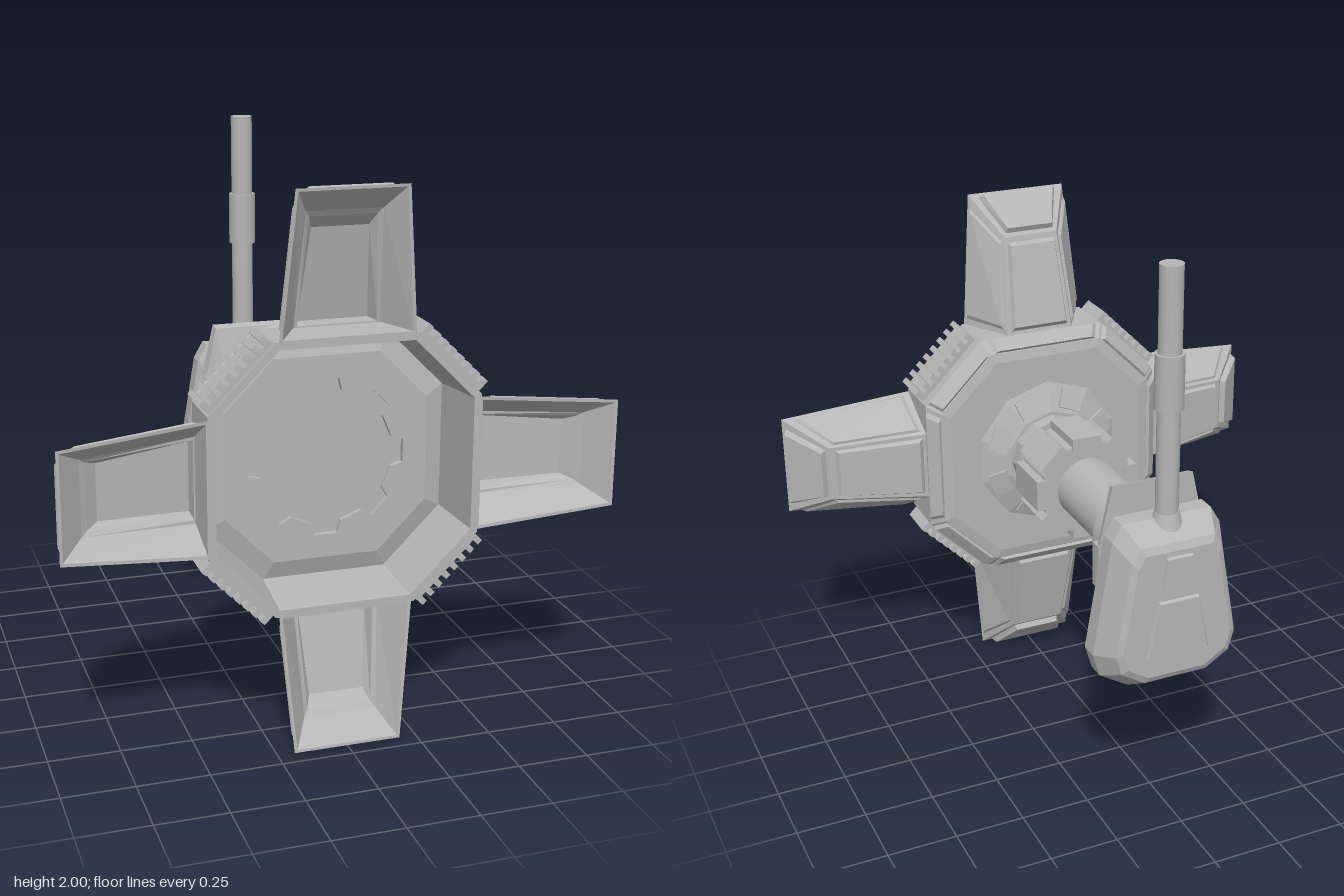
import * as THREE from 'three';

const hull = new THREE.MeshStandardMaterial({ color: 0xb6b6b6 });
hull.name = 'hull grey';
const CY = 0.96; // height of the main axis

function add(parent, name, geometry, x = 0, y = 0, z = 0) {
  const mesh = new THREE.Mesh(geometry, hull);
  mesh.name = name;
  mesh.position.set(x, y, z);
  parent.add(mesh);
  return mesh;
}

// Flat-shaded skin through rings of equal point count, with optional end caps
function loft(rings, startCap = true, endCap = true) {
  const out = [];
  const tri = (...pts) => pts.forEach((p) => out.push(p[0], p[1], p[2]));
  const n = rings[0].length;
  for (let i = 0; i < rings.length - 1; i++) {
    for (let j = 0; j < n; j++) {
      const k = (j + 1) % n, a = rings[i], b = rings[i + 1];
      tri(a[j], a[k], b[k]);
      tri(a[j], b[k], b[j]);
    }
  }
  const first = rings[0], last = rings[rings.length - 1];
  for (let j = 1; j < n - 1; j++) {
    if (startCap) tri(first[0], first[j + 1], first[j]);
    if (endCap) tri(last[0], last[j], last[j + 1]);
  }
  const g = new THREE.BufferGeometry();
  g.setAttribute('position', new THREE.Float32BufferAttribute(out, 3));
  g.computeVertexNormals();
  return g;
}

// Raised plate with bevelled edges lying on a four-cornered face
function panel(a, b, c, d, inset, height) {
  const q = [a, b, c, d].map((p) => new THREE.Vector3(...p));
  const normal = q[1].clone().sub(q[0]).cross(q[3].clone().sub(q[0])).normalize();
  const ring = (t, h) => [[t, t], [1 - t, t], [1 - t, 1 - t], [t, 1 - t]].map(([u, v]) => {
    const low = q[0].clone().lerp(q[1], u), high = q[3].clone().lerp(q[2], u);
    return low.lerp(high, v).addScaledVector(normal, h).toArray();
  });
  return loft([ring(inset, 0), ring(inset + 0.035, height)], false, true);
}

// Octagon whose cardinal sides are a little longer than its diagonals
function octagon(a, z) {
  const h = a * 0.52;
  return [[a, -h], [a, h], [h, a], [-h, a], [-a, h], [-a, -h], [-h, -a], [h, -a]].map(([x, y]) => [x, y, z]);
}

// Cylinder along z
function barrel(rFront, rBack, zFront, zBack, sides) {
  const g = new THREE.CylinderGeometry(rFront, rBack, zFront - zBack, sides);
  g.rotateX(Math.PI / 2);
  g.translate(0, 0, (zFront + zBack) / 2);
  return sides < 20 ? flat(g) : g;
}

function flat(g) {
  const f = g.toNonIndexed();
  f.computeVertexNormals();
  return f;
}

function makePetal() {
  const petal = new THREE.Group();
  petal.name = 'petal';
  const ring = (w0, r0, z0, w1, r1, z1) => [[-w0, r0, z0], [w0, r0, z0], [w1, r1, z1], [-w1, r1, z1]];
  const back = ring(0.13, 0.46, 0.47, 0.105, 0.825, 0.55);
  const rim = ring(0.235, 0.46, 0.66, 0.19, 0.96, 0.693);
  add(petal, 'petal tray', loft([
    back, rim,
    ring(0.222, 0.475, 0.66, 0.18, 0.95, 0.692),
    ring(0.15, 0.485, 0.545, 0.13, 0.875, 0.612),
    ring(0.138, 0.49, 0.545, 0.115, 0.855, 0.598),
    ring(0.122, 0.495, 0.495, 0.098, 0.815, 0.565),
  ]));
  add(petal, 'petal back plate', panel(back[0], back[3], back[2], back[1], 0.06, 0.016));
  add(petal, 'petal tip plate', panel(back[2], back[3], rim[3], rim[2], 0.08, 0.022));
  add(petal, 'petal side plate', panel(back[1], back[2], rim[2], rim[1], 0.07, 0.01));
  add(petal, 'petal side plate', panel(back[3], back[0], rim[0], rim[3], 0.07, 0.01));
  return petal;
}

function makeHub() {
  const hub = new THREE.Group();
  hub.name = 'hub';
  const bevelLow = octagon(0.425, 0.418), bevelHigh = octagon(0.47, 0.46);
  add(hub, 'hub shell', loft([
    octagon(0.39, 0.41), bevelLow, bevelHigh, octagon(0.47, 0.66),
    octagon(0.445, 0.66), octagon(0.425, 0.425),
  ]));
  for (let j = 0; j < 8; j++) {
    const k = (j + 1) % 8;
    add(hub, 'hub edge bar', panel(bevelLow[j], bevelLow[k], bevelHigh[k], bevelHigh[j], 0.04, 0.012));
  }

  // Raised floor frame around a toothed recess
  add(hub, 'floor bevel', loft([octagon(0.425, 0.425), octagon(0.36, 0.448)], false, false));
  const frame = new THREE.Shape(octagon(0.36, 0).map(([x, y]) => new THREE.Vector2(x, y)));
  const hole = [];
  for (let i = 0; i < 8; i++) {
    const c = i * Math.PI / 4 + Math.PI / 8;
    [[-0.24, 0.28], [-0.17, 0.24], [0.17, 0.24], [0.24, 0.28]].forEach(([da, r]) =>
      hole.push(new THREE.Vector2(r * Math.cos(c + da), r * Math.sin(c + da))));
  }
  frame.holes.push(new THREE.Path(hole));
  add(hub, 'floor frame', new THREE.ExtrudeGeometry(frame, { depth: 0.02, bevelEnabled: false }), 0, 0, 0.428);

  // Cooling fins on the four diagonal sides
  for (let q = 0; q < 4; q++) {
    const fins = new THREE.Group();
    fins.name = 'cooling fins';
    fins.rotation.z = Math.PI / 4 + q * Math.PI / 2;
    add(fins, 'fin base', new THREE.BoxGeometry(0.03, 0.29, 0.15), 0.508, 0, 0.575);
    for (let i = 0; i < 8; i++) {
      add(fins, 'fin', new THREE.BoxGeometry(0.05, 0.021, 0.15), 0.524, (i - 3.5) * 0.04, 0.575);
    }
    hub.add(fins);
  }

  // Rear cone with shallow ribs
  add(hub, 'rear cone', barrel(0.29, 0.18, 0.411, 0.368, 10));
  for (let i = 0; i < 8; i++) {
    const rib = new THREE.Group();
    rib.name = 'cone rib';
    rib.rotation.z = (i + 0.5) * Math.PI / 4;
    add(rib, 'rib', new THREE.BoxGeometry(0.075, 0.09, 0.02), 0.222, 0, 0.387).rotation.y = -0.38;
    hub.add(rib);
  }
  return hub;
}

function makeShaft() {
  const shaft = new THREE.Group();
  shaft.name = 'shaft';
  add(shaft, 'shaft tube', barrel(0.117, 0.117, 0.38, -0.42, 32));
  add(shaft, 'front collar', barrel(0.165, 0.165, 0.375, 0.315, 12));
  add(shaft, 'rear collar', barrel(0.155, 0.155, -0.335, -0.405, 32));
  add(shaft, 'clamp ring', barrel(0.18, 0.18, 0.245, 0.045, 16));
  for (let i = 0; i < 8; i++) {
    const block = new THREE.Group();
    block.name = 'clamp block';
    block.rotation.z = i * Math.PI / 4;
    add(block, 'block', new THREE.BoxGeometry(0.05, 0.115, 0.204), 0.175, 0, 0.145);
    shaft.add(block);
  }
  return shaft;
}

function makePod() {
  const pod = new THREE.Group();
  pod.name = 'rear pod';
  // Bracket between shaft and pod, tapering towards its top
  const plate = (w, wTop, yTop, z) =>
    [[-w, 0.74, z], [w, 0.74, z], [w, 1.0, z], [wTop, yTop, z], [-wTop, yTop, z], [-w, 1.0, z]];
  add(pod, 'bracket', loft([plate(0.2, 0.15, 1.22, -0.485), plate(0.19, 0.145, 1.21, -0.455), plate(0.12, 0.11, 1.03, -0.41)]));
  add(pod, 'bracket block', new THREE.BoxGeometry(0.4, 0.16, 0.05), 0, 0.925, -0.46);

  // Pod body, wide low down and narrow at the top
  const side = [[0.14, 0.51], [0.245, 0.575], [0.27, 0.66], [0.2, 1.07], [0.165, 1.13]];
  const outline = [...side, ...side.map(([x, y]) => [-x, y]).reverse()];
  const ring = (s, z) => outline.map(([x, y]) => [x * s, 0.8 + (y - 0.8) * s, z]);
  add(pod, 'pod body', loft([ring(0.75, -0.688), ring(0.83, -0.676), ring(1, -0.59), ring(1, -0.525), ring(0.87, -0.487)]));
  const backPlate = (wLow, yLow, wHigh, yHigh) =>
    panel([wLow, yLow, -0.687], [-wLow, yLow, -0.687], [-wHigh, yHigh, -0.687], [wHigh, yHigh, -0.687], 0, 0.012);
  add(pod, 'pod lower back plate', backPlate(0.12, 0.65, 0.075, 0.87));
  add(pod, 'pod upper back plate', backPlate(0.075, 0.87, 0.05, 1.03));

  // Antenna mast
  const mast = (name, rTop, rBottom, y0, y1) =>
    add(pod, name, new THREE.CylinderGeometry(rTop, rBottom, y1 - y0, 20), 0, (y0 + y1) / 2, -0.588);
  mast('antenna base', 0.042, 0.06, 1.08, 1.15);
  mast('lower mast', 0.04, 0.04, 1.1, 1.52);
  mast('mast sleeve', 0.05, 0.05, 1.515, 1.705);
  mast('upper mast', 0.04, 0.04, 1.7, 2);
  return pod;
}

export function createModel() {
  const model = new THREE.Group();
  model.name = 'four petal station';
  const head = new THREE.Group();
  head.name = 'head';
  head.position.y = CY;
  head.add(makeHub(), makeShaft());
  for (let i = 0; i < 4; i++) {
    const petal = makePetal();
    petal.rotation.z = i * Math.PI / 2;
    head.add(petal);
  }
  model.add(head, makePod());
  return model;
}
